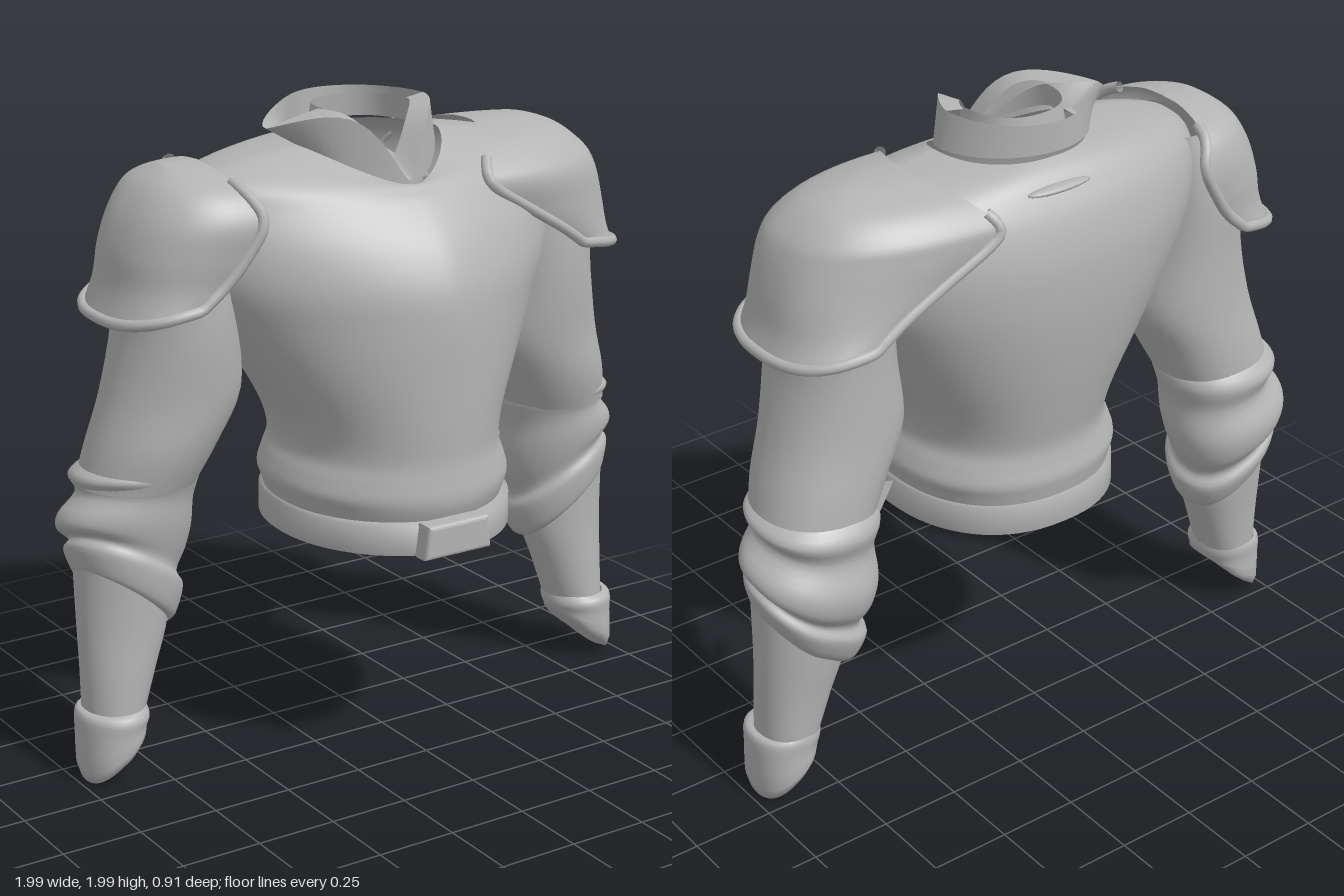
import * as THREE from 'three';

const steel = new THREE.MeshStandardMaterial({ color: 0xb4b4b4, side: THREE.DoubleSide });
steel.name = 'plain steel';

// Catmull-Rom blend of equally long rows, so a few sections give a smooth skin
function smoothRows(rows, steps) {
  const out = [];
  const at = (i) => rows[Math.min(rows.length - 1, Math.max(0, i))];
  for (let i = 0; i < rows.length - 1; i++) {
    for (let k = 0; k < steps; k++) {
      const t = k / steps;
      out.push(at(i).map((p1, c) => {
        const p0 = at(i - 1)[c], p2 = at(i + 1)[c], p3 = at(i + 2)[c];
        return p1 + 0.5 * t * (p2 - p0 + t * (2 * p0 - 5 * p1 + 4 * p2 - p3 + t * (3 * (p1 - p2) + p3 - p0)));
      }));
    }
  }
  out.push(rows[rows.length - 1]);
  return out;
}

function mesh(name, geometry) {
  const m = new THREE.Mesh(geometry, steel);
  m.name = name;
  return m;
}

// Skin over rows of points; closed rows wrap round
function skin(name, rows, closed) {
  const n = rows[0].length, pos = [], idx = [];
  rows.forEach((r) => r.forEach((p) => pos.push(p.x, p.y, p.z)));
  for (let i = 0; i < rows.length - 1; i++) {
    for (let j = 0; j < (closed ? n : n - 1); j++) {
      const a = i * n + j, b = i * n + (j + 1) % n;
      idx.push(a, a + n, b, b, a + n, b + n);
    }
  }
  const g = new THREE.BufferGeometry();
  g.setAttribute('position', new THREE.Float32BufferAttribute(pos, 3));
  g.setIndex(idx);
  g.computeVertexNormals();
  return mesh(name, g);
}

const power = (v, e) => Math.sign(v) * Math.abs(v) ** e;

// Ring: y, x0, x1, zFront, zBack, rise at x1, rise at front, front drop, front exponent
function ring([y, x0, x1, zf, zb, tx, tz, df, nf], side, count) {
  const pts = [], cx = (x0 + x1) / 2, hw = (x1 - x0) / 2, cz = (zf + zb) / 2, hz = (zf - zb) / 2;
  for (let j = 0; j < count; j++) {
    const a = (j / count) * Math.PI * 2, c = Math.cos(a), s = Math.sin(a);
    const e = s > 0 ? 2 / nf : 0.88;
    pts.push(new THREE.Vector3(side * (cx + hw * power(c, e)),
      y + tx * c + tz * s - df * Math.max(0, s) ** 2, cz + hz * power(s, e)));
  }
  return pts;
}

// Rows may omit trailing values: no tilt, no drop, round front
function loft(name, rows, side = 1, steps = 4, count = 48) {
  const full = rows.map(([y, x0, x1, zf, zb, tx = 0, tz = 0, df = 0, nf = 2]) =>
    [y, x0, x1, zf, zb, tx, tz, df, nf]);
  return skin(name, smoothRows(full, steps).map((r) => ring(r, side, count)), true);
}

// Shoulder plate: arcs from front edge round the outside to the back edge, rolled rim below the crown
function pauldron(name, rows, side) {
  const group = new THREE.Group();
  group.name = name;
  const arcs = smoothRows(rows, 5).map(([y, xi, xo, zf, zb, rise]) => {
    const arc = [];
    for (let j = 0; j <= 28; j++) {
      const a = Math.PI * (0.5 - j / 28), c = Math.max(0, Math.cos(a)), s = Math.sin(a);
      arc.push(new THREE.Vector3(side * (xi + (xo - xi) * c ** 0.85),
        y + rise * (1 - c), (zf + zb) / 2 + (zf - zb) / 2 * power(s, 0.8)));
    }
    return arc;
  });
  group.add(skin('shoulderShell', arcs, false));
  const low = arcs.slice(0, 23);
  const edge = [...low.map((a) => a[0]).reverse(), ...arcs[0].slice(1, -1), ...low.map((a) => a[28])];
  const path = new THREE.CatmullRomCurve3(edge.filter((p, i) => i % 2 === 0));
  group.add(mesh('rolledRim', new THREE.TubeGeometry(path, 90, 0.017, 8)));
  return group;
}

function arm(side) {
  const group = new THREE.Group();
  group.name = side > 0 ? 'leftArm' : 'rightArm';
  group.add(
    loft('upperArm', [
      [1.8, 0.46, 0.68, 0.02, -0.28], [1.6, 0.48, 0.8, 0.08, -0.32], [1.4, 0.47, 0.82, 0.09, -0.32],
      [1.2, 0.45, 0.865, 0.07, -0.325], [1.05, 0.52, 0.91, 0.05, -0.335], [0.93, 0.58, 0.94, 0.01, -0.34],
    ], side),
    // overlapping tilted elbow plates
    loft('elbowPlates', [
      [1.0, 0.6, 0.9, 0, -0.31], [0.95, 0.57, 0.955, 0.02, -0.365, 0.01, 0.02],
      [0.88, 0.59, 0.935, -0.005, -0.345, 0.03, 0.03], [0.8, 0.59, 0.985, -0.01, -0.375, 0.05, 0.04],
      [0.74, 0.61, 0.995, -0.02, -0.365, 0.07, 0.05], [0.69, 0.645, 0.962, -0.035, -0.33, 0.09, 0.05],
      [0.65, 0.625, 0.98, -0.02, -0.345, 0.1, 0.05], [0.58, 0.655, 0.965, -0.03, -0.32, 0.11, 0.04],
      [0.56, 0.68, 0.955, -0.05, -0.295, 0.11, 0.04],
    ], side),
    loft('forearm', [
      [0.7, 0.67, 0.96, -0.04, -0.31], [0.5, 0.68, 0.96, -0.05, -0.29],
      [0.35, 0.73, 0.96, -0.05, -0.27], [0.18, 0.79, 0.96, -0.05, -0.255],
    ], side),
    // slanted, closed wrist end
    loft('wristCuff', [
      [0.235, 0.775, 0.963, -0.045, -0.26], [0.215, 0.77, 0.985, -0.022, -0.265, 0.01],
      [0.17, 0.78, 0.988, -0.025, -0.262, -0.01], [0.085, 0.8, 0.975, -0.035, -0.255, -0.075, 0, 0, 2.3],
      [0.08, 0.885, 0.89, -0.14, -0.15],
    ], side, 3));
  return group;
}

// Pointed outer collar with a flared right tip, and lapels folding in to the front notch
function collar() {
  const group = new THREE.Group();
  group.name = 'collar';
  const base = [], edge = [], inner = [];
  for (let j = 0; j < 72; j++) {
    const a = (j / 72) * Math.PI * 2, c = Math.cos(a), s = Math.sin(a), f = Math.max(0, s);
    const k = s > 0 ? 1.4 : 1, left = Math.max(0, -c);
    base.push(new THREE.Vector3(-0.02 + 0.235 * power(c, k), 1.89 + 0.02 * Math.max(0, -s) - 0.11 * f ** 2,
      -0.065 + 0.245 * power(s, k)));
    edge.push(new THREE.Vector3(-0.02 + 0.21 * power(c, k) - 0.13 * left ** 6,
      2 - 0.2 * f ** 7 - 0.05 * left ** 8, -0.065 + 0.245 * power(s, k)));
    if (s >= 0) {
      inner.push(new THREE.Vector3(-0.025 + 0.155 * power(c, 1.5), 1.99 - 0.14 * f ** 5,
        -0.065 + 0.155 * power(s, 1.3)));
    }
  }
  const middle = base.map((p, j) => p.clone().lerp(edge[j], 0.5));
  group.add(skin('collarWall', [base, middle, edge], true),
    skin('lapels', [edge.slice(0, inner.length), inner], false));
  return group;
}

export function createModel() {
  const model = new THREE.Group();
  model.name = 'torsoArmour';

  // breastplate and backplate, open at the neck and waist
  const body = [
    // y, half width, front, back, front drop, front exponent
    [0.8, 0.34, 0.38, -0.37, 0, 2], [0.85, 0.355, 0.4, -0.38, 0, 2], [0.89, 0.368, 0.405, -0.385, 0, 2],
    [0.94, 0.352, 0.4, -0.375, 0, 2], [1.0, 0.33, 0.395, -0.37, 0, 2], [1.1, 0.355, 0.398, -0.39, 0, 1.95],
    [1.25, 0.44, 0.4, -0.42, 0, 1.8], [1.4, 0.53, 0.4, -0.443, 0, 1.62], [1.52, 0.6, 0.385, -0.452, 0, 1.55],
    [1.64, 0.635, 0.33, -0.448, 0, 1.55], [1.75, 0.635, 0.25, -0.42, 0.01, 1.6],
    [1.825, 0.59, 0.21, -0.38, 0.05, 1.65], [1.87, 0.43, 0.19, -0.345, 0.08, 1.6],
    [1.895, 0.235, 0.18, -0.305, 0.11, 1.45],
  ].map(([y, w, f, b, d, n]) => [y, -w, w, f, b, 0, 0, d, n]);
  model.add(loft('cuirass', body, 1, 4, 72));

  // waist belt and buckle
  model.add(loft('belt', [
    [0.825, -0.335, 0.335, 0.38, -0.365], [0.82, -0.362, 0.362, 0.425, -0.388],
    [0.73, -0.362, 0.362, 0.425, -0.39], [0.732, -0.345, 0.345, 0.405, -0.37],
  ], 1, 1, 64));
  const buckleShape = new THREE.Shape([[-0.11, -0.04], [0.1, -0.04], [0.09, 0.04], [-0.1, 0.04]]
    .map(([x, y]) => new THREE.Vector2(x, y)));
  const buckle = mesh('buckle', new THREE.ExtrudeGeometry(buckleShape,
    { depth: 0.04, bevelSize: 0.012, bevelThickness: 0.014, bevelSegments: 3 }));
  buckle.position.set(-0.02, 0.78, 0.4);
  model.add(buckle);

  // neck: outer collar and inner band
  model.add(collar(), loft('innerNeckBand', [
    [1.92, -0.18, 0.13, 0.09, -0.23, 0, 0, 0.08, 1.6], [1.99, -0.17, 0.12, 0.085, -0.22, 0, 0, 0.13, 1.6],
  ], 1, 3));

  // small raised ridge between the shoulder blades
  const ridge = mesh('backRidge', new THREE.SphereGeometry(1, 20, 10));
  ridge.scale.set(0.11, 0.012, 0.025);
  ridge.position.set(0.03, 1.835, -0.375);
  model.add(ridge);

  model.add(arm(1), arm(-1));

  // shoulder plates: y, inner x, outer x, front, back, rise of the inner end
  model.add(pauldron('leftPauldron', [
    [1.475, 0.66, 0.875, 0.13, -0.375, 0.04], [1.54, 0.56, 0.85, 0.15, -0.375, 0.04],
    [1.64, 0.42, 0.83, 0.175, -0.385, 0.02], [1.74, 0.27, 0.8, 0.2, -0.4, 0.01],
    [1.8, 0.26, 0.765, 0.17, -0.39, 0], [1.86, 0.32, 0.69, 0.08, -0.32, 0],
    [1.89, 0.37, 0.6, -0.04, -0.2, 0], [1.895, 0.38, 0.55, -0.12, -0.12, 0],
  ], 1));
  model.add(pauldron('rightPauldron', [
    [1.45, 0.69, 0.89, 0.13, -0.37, 0.05], [1.54, 0.62, 0.86, 0.14, -0.375, 0.02],
    [1.64, 0.56, 0.845, 0.16, -0.385, 0], [1.74, 0.51, 0.81, 0.17, -0.385, 0],
    [1.82, 0.54, 0.755, 0.11, -0.34, 0], [1.865, 0.56, 0.69, -0.02, -0.22, 0],
    [1.875, 0.56, 0.66, -0.12, -0.12, 0],
  ], -1));

  // torn plate slivers behind the left elbow
  [
    [[0.49, 0.96], [0.53, 0.97], [0.6, 0.8], [0.57, 0.82], [0.53, 0.89]],
    [[0.56, 1.03], [0.61, 0.98], [0.63, 0.88], [0.605, 0.81], [0.59, 0.9]],
  ].forEach((pts, i) => {
    const sliver = mesh('tornSliver', new THREE.ShapeGeometry(
      new THREE.Shape(pts.map(([x, y]) => new THREE.Vector2(x, y)))));
    sliver.position.z = -0.2 - 0.05 * i;
    model.add(sliver);
  });
  return model;
}
